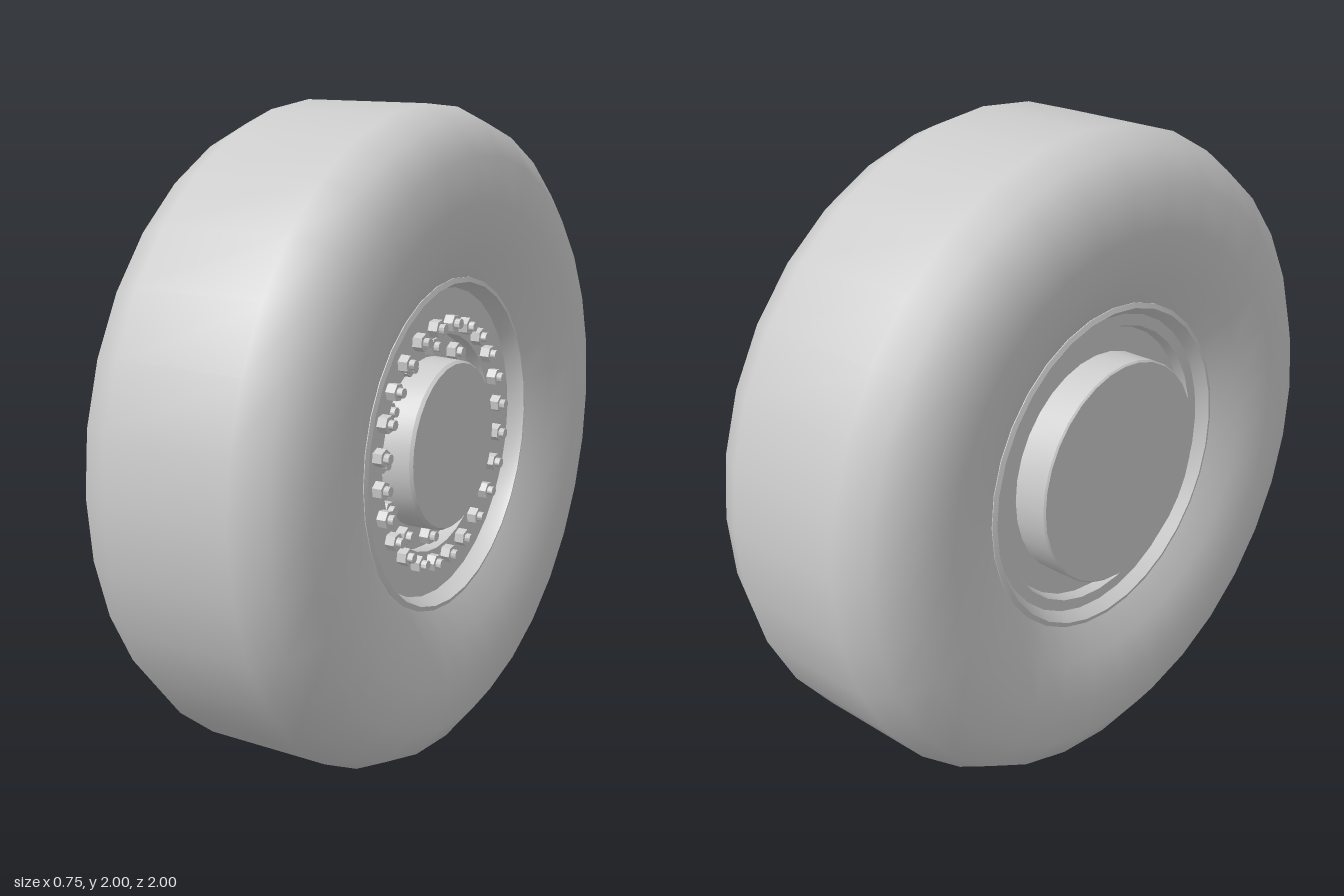
import * as THREE from 'three';
import { toCreasedNormals } from 'three/addons/utils/BufferGeometryUtils.js';

const SIDES = 32;
const material = new THREE.MeshStandardMaterial({ color: 0xcccccc });

// Revolves [radius, x] points about the axle; profiles run from -x to +x on outer faces
function revolve(name, profile, crease) {
  let geometry = new THREE.LatheGeometry(profile.map(([r, x]) => new THREE.Vector2(r, x)), SIDES);
  if (crease) geometry = toCreasedNormals(geometry, crease);
  geometry.rotateZ(-Math.PI / 2);
  const mesh = new THREE.Mesh(geometry, material);
  mesh.name = name;
  return mesh;
}

// Cylinder lying along the axle, from x0 to x1
function pin(radius, x0, x1, sides) {
  const geometry = new THREE.CylinderGeometry(radius, radius, x1 - x0, sides);
  geometry.rotateZ(-Math.PI / 2).translate((x0 + x1) / 2, 0, 0);
  return toCreasedNormals(geometry, sides > 6 ? 0.9 : 0.3);
}

// Ring of hex nuts with protruding studs
function boltCircle(name, count, radius, seat, start) {
  const group = new THREE.Group();
  group.name = name;
  const nutGeometry = pin(0.027, seat - 0.005, seat + 0.03, 6);
  const studGeometry = pin(0.015, seat, seat + 0.047, 10);
  for (let i = 0; i < count; i++) {
    const angle = start + (i / count) * Math.PI * 2;
    const bolt = new THREE.Group();
    bolt.name = 'bolt';
    const nut = new THREE.Mesh(nutGeometry, material);
    nut.name = 'nut';
    const stud = new THREE.Mesh(studGeometry, material);
    stud.name = 'stud';
    bolt.add(nut, stud);
    bolt.position.set(0, radius * Math.cos(angle), -radius * Math.sin(angle));
    bolt.rotation.x = -angle;
    group.add(bolt);
  }
  return group;
}

export function createModel() {
  const wheel = new THREE.Group();
  wheel.name = 'wheel';

  // Tyre: one half profile, mirrored across the middle
  const half = [[0.5, 0.295], [0.6, 0.345], [0.73, 0.373], [0.86, 0.365], [0.955, 0.295], [1, 0.2]];
  const mirrored = half.map(([r, x]) => [r, -x]);
  wheel.add(revolve('tyre', [...mirrored, ...half.slice().reverse()]));

  // Outer rim: lip, sloped wall, bolt flange and the recess around the hub
  wheel.add(revolve('outerRim', [
    [0.505, 0.28], [0.505, 0.3], [0.49, 0.305], [0.485, 0.285], [0.47, 0.255],
    [0.332, 0.255], [0.332, 0.21], [0.24, 0.21],
  ], 0.5));

  // Inner rim: lip, stepped wall and back plate
  wheel.add(revolve('innerRim', [
    [0.32, -0.24], [0.42, -0.24], [0.43, -0.27], [0.465, -0.27],
    [0.49, -0.305], [0.505, -0.3], [0.505, -0.28],
  ], 0.5));

  // Hub cap with a slightly bevelled edge
  wheel.add(revolve('hubCap', [[0.26, 0.2], [0.257, 0.3], [0.25, 0.31], [0, 0.31]], 0.5));

  // Brake drum on the inner side
  wheel.add(revolve('brakeDrum', [[0, -0.35], [0.34, -0.35], [0.345, -0.345], [0.345, -0.23]], 0.5));

  // Wheel bolts on the flange and hub bolts in the recess
  wheel.add(boltCircle('wheelBolts', 24, 0.365, 0.255, Math.PI / 24));
  wheel.add(boltCircle('hubBolts', 12, 0.295, 0.21, 0.02));

  wheel.position.y = 1;
  const model = new THREE.Group();
  model.name = 'truckWheel';
  model.add(wheel);
  return model;
}
